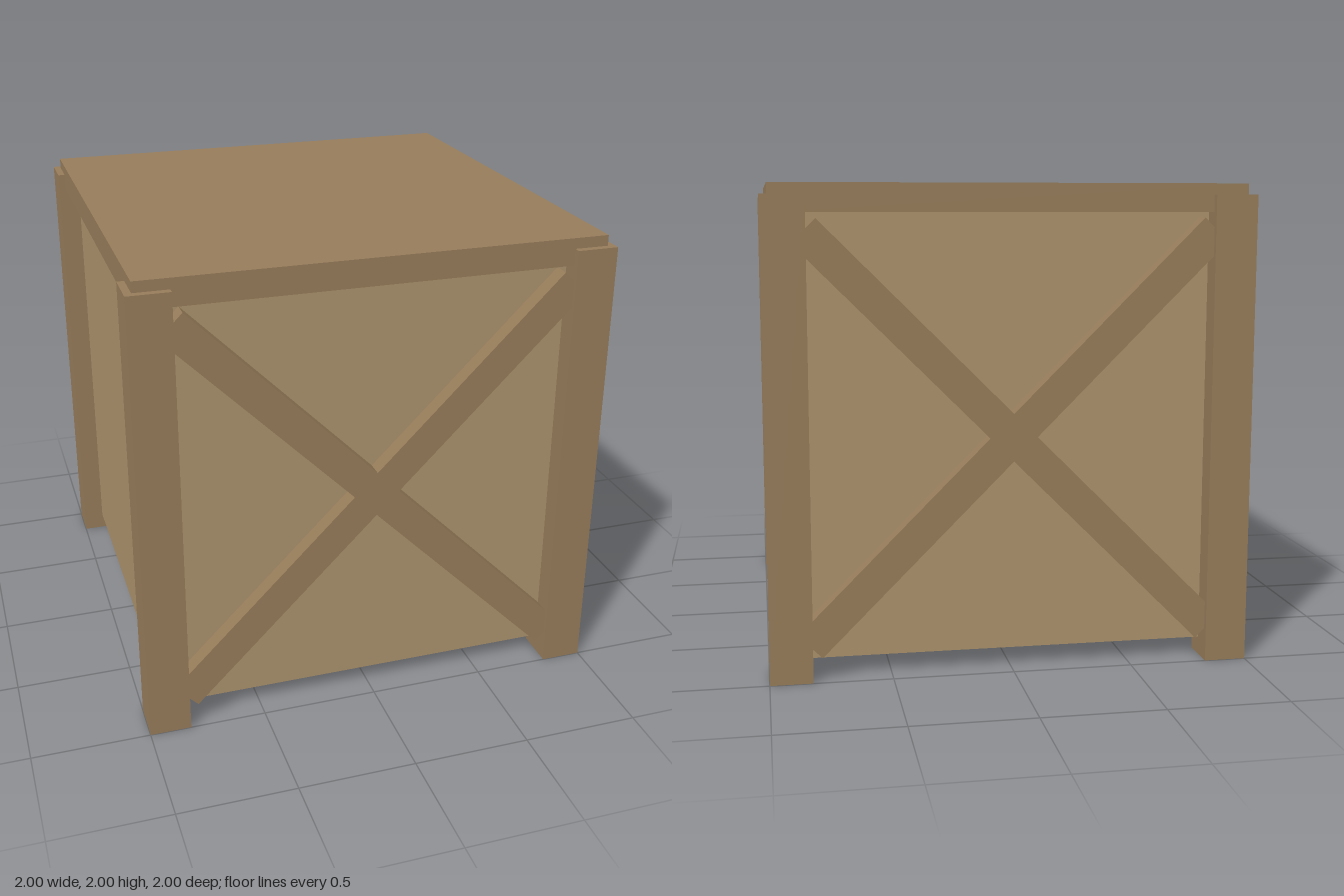
import * as THREE from 'three';

export function createModel() {
  const group = new THREE.Group();
  const frameMat = new THREE.MeshStandardMaterial({ color: 0x967c5a, flatShading: true });
  const panelMat = new THREE.MeshStandardMaterial({ color: 0xab916b, flatShading: true });

  function box(name, size, position, material) {
    const mesh = new THREE.Mesh(new THREE.BoxGeometry(...size), material);
    mesh.name = name;
    mesh.position.set(...position);
    group.add(mesh);
    return mesh;
  }

  // Inner box and lid
  box('body', [1.815, 1.815, 1.815], [0, 0.9825, 0], panelMat);
  box('lid', [1.94, 0.115, 1.94], [0, 1.9425, 0], frameMat);

  // Corner posts
  const post = 0.175, postHeight = 1.955;
  for (const x of [-1, 1]) {
    for (const z of [-1, 1]) {
      const name = (z > 0 ? 'front' : 'back') + (x > 0 ? 'Left' : 'Right') + 'Post';
      const offset = 1 - post / 2;
      box(name, [post, postHeight, post], [x * offset, postHeight / 2, z * offset], frameMat);
    }
  }

  // Crossed braces on the front and back
  for (const z of [-1, 1]) {
    for (const tilt of [-1, 1]) {
      const name = (z > 0 ? 'front' : 'back') + (tilt > 0 ? 'Rising' : 'Falling') + 'Brace';
      const brace = box(name, [2.36, 0.138, 0.08], [0, 0.98, z * 0.94], frameMat);
      brace.rotation.z = tilt * Math.PI / 4;
    }
  }

  return group;
}
